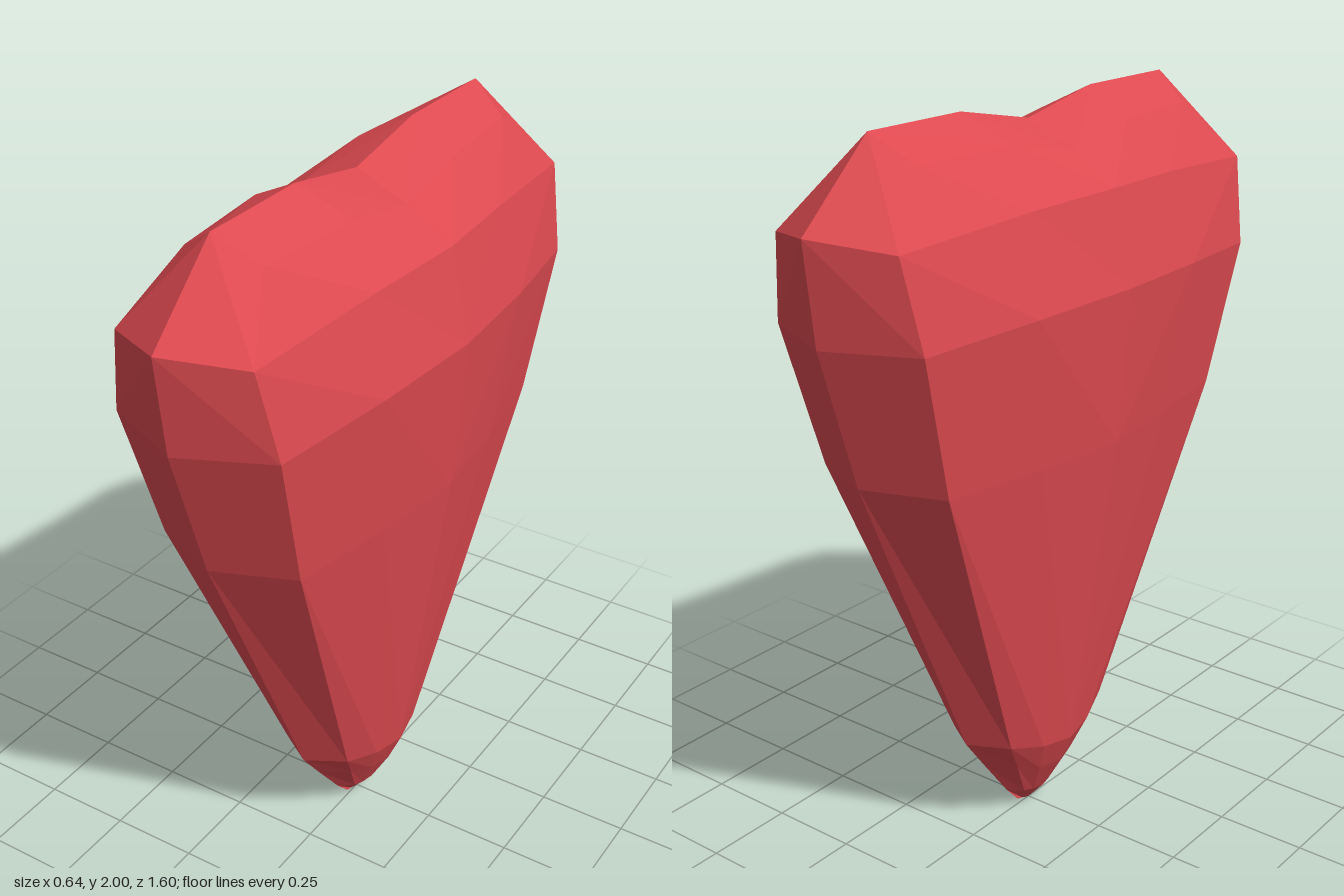
import * as THREE from 'three';

// One quarter of the heart: rows run from the top ridge to the tip,
// columns from the outline edge to the middle of the broad side.
const ridge = [[0, 2, 0.58], [0, 2, 0.58], [0, 2, 0.26], [0, 1.95, 0]];
const rows = [
  ridge,
  [ridge[0], [0.105, 1.93, 0.535], [0.135, 1.93, 0.225], [0.15, 1.885, 0]],
  [[0, 1.8, 0.8], [0.187, 1.77, 0.695], [0.235, 1.8, 0.29], [0.265, 1.81, 0]],
  [[0, 1.54, 0.77], [0.228, 1.54, 0.665], [0.288, 1.56, 0.33], [0.32, 1.57, 0]],
  [[0, 1.17, 0.655], [0.2, 1.16, 0.56], [0.25, 1.16, 0.27], [0.285, 1.16, 0]],
  [[0, 0.3, 0.275], [0.1, 0.29, 0.205], [0.132, 0.26, 0.1], [0.15, 0.25, 0]],
  [[0, 0.2, 0.2], [0.07, 0.19, 0.14], [0.095, 0.165, 0.07], [0.11, 0.16, 0]],
  [[0, 0.07, 0.1], [0.035, 0.065, 0.065], [0.045, 0.06, 0.035], [0.053, 0.06, 0]],
  [[0, 0.016, 0.05], [0, 0.01, 0.03], [0, 0.004, 0.015], [0, 0, 0]],
];

function heartGeometry() {
  const positions = [];
  const tri = (a, b, c, sx, sz) => {
    // Skip collapsed triangles on the ridge
    if (a === b || b === c || a === c || (a[1] === b[1] && a[2] === b[2] && a[0] === b[0])) return;
    const corners = sx * sz > 0 ? [a, b, c] : [a, c, b];
    for (const [x, y, z] of corners) positions.push(x * sx, y, z * sz);
  };
  // Mirror the quarter across both vertical planes
  for (const sx of [1, -1]) {
    for (const sz of [1, -1]) {
      for (let r = 0; r < rows.length - 1; r++) {
        for (let c = 0; c < 3; c++) {
          const a = rows[r][c], b = rows[r][c + 1];
          const d = rows[r + 1][c], e = rows[r + 1][c + 1];
          tri(a, d, e, sx, sz);
          tri(a, e, b, sx, sz);
        }
      }
    }
  }
  const geometry = new THREE.BufferGeometry();
  geometry.setAttribute('position', new THREE.Float32BufferAttribute(positions, 3));
  geometry.computeVertexNormals();
  return geometry;
}

export function createModel() {
  const group = new THREE.Group();
  group.name = 'heart';
  const material = new THREE.MeshStandardMaterial({ color: 0xdd4a50, flatShading: true });
  const body = new THREE.Mesh(heartGeometry(), material);
  body.name = 'heartBody';
  group.add(body);
  return group;
}
